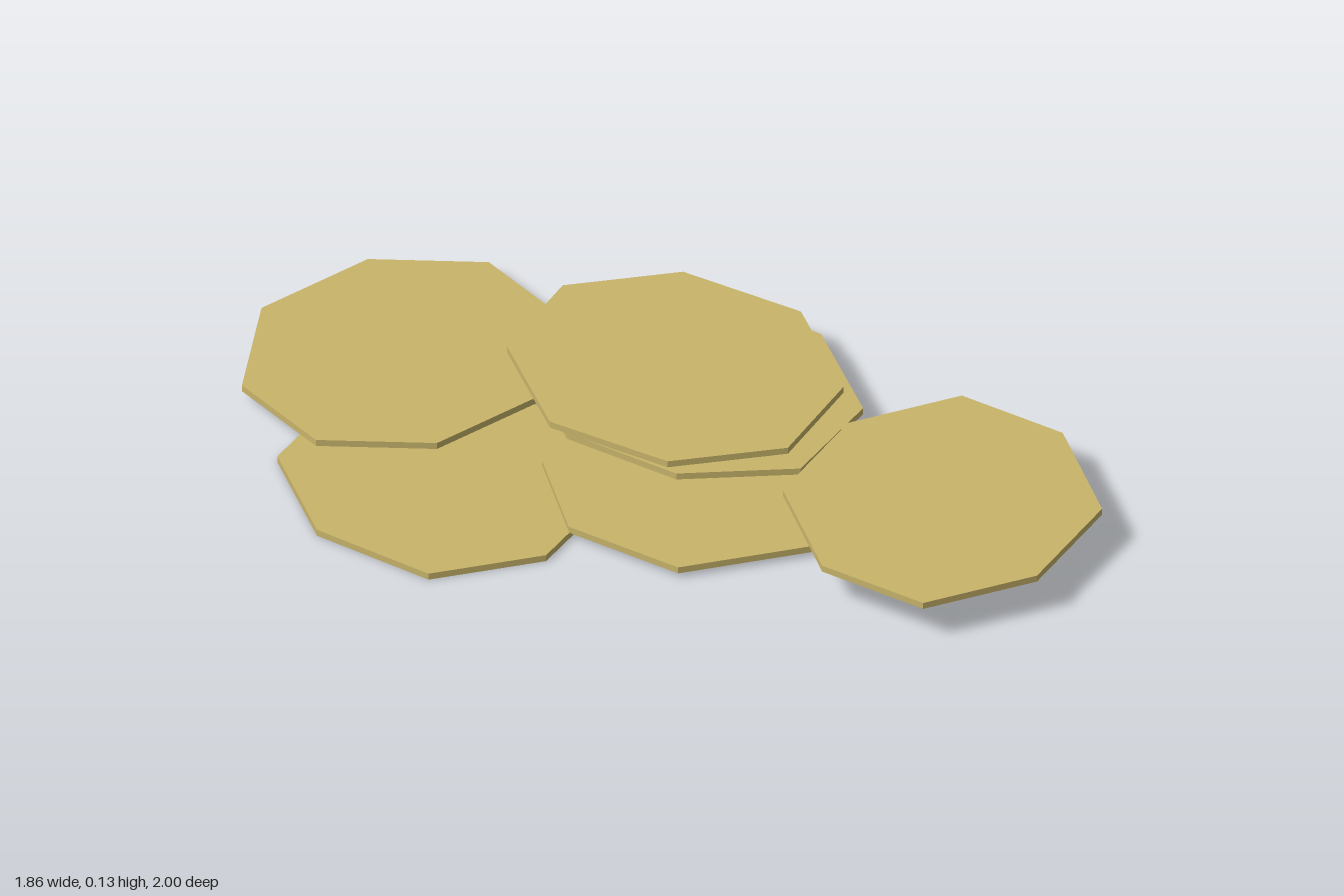
import * as THREE from 'three';

const THICKNESS = 0.018;

// Each plate: centre [x, z], underside height, and half of its corners as
// offsets [x, z]; the other half is the same offsets mirrored through the centre.
const PLATES = [
  { name: 'lowerLeftPlate', c: [-0.545, -0.08], y: 0.0,
    half: [[-0.365, -0.22], [-0.385, 0.12], [-0.19, 0.4], [0.115, 0.425]] },
  { name: 'lowerMiddlePlate', c: [0.075, 0.165], y: 0.014,
    half: [[-0.415, 0.1], [-0.22, 0.365], [0.125, 0.392], [0.376, 0.2]] },
  { name: 'lowerBackPlate', c: [-0.47, -0.587], y: 0.031,
    half: [[0.06, -0.413], [0.34, -0.295], [0.43, -0.003], [0.265, 0.302]] },
  { name: 'upperMiddlePlate', c: [0.14, -0.128], y: 0.083,
    half: [[0.375, -0.095], [0.36, 0.25], [0.12, 0.447], [-0.18, 0.36]] },
  { name: 'upperFrontPlate', c: [0.54, 0.588], y: 0.096,
    half: [[-0.105, -0.4], [0.205, -0.415], [0.385, -0.172], [0.361, 0.178]] },
  { name: 'upperTopPlate', c: [0.108, -0.176], y: 0.111,
    half: [[-0.14, -0.436], [0.164, -0.388], [0.38, -0.12], [0.365, 0.23]] },
];

export function createModel() {
  const group = new THREE.Group();
  const material = new THREE.MeshStandardMaterial({ color: 0xc8b46a });
  material.name = 'dullGold';

  for (const { name, c, y, half } of PLATES) {
    const corners = [...half, ...half.map(([x, z]) => [-x, -z])];
    const shape = new THREE.Shape(corners.map(([x, z]) => new THREE.Vector2(x, -z)));
    // Eight-sided flat plate laid on the ground plane
    const geometry = new THREE.ExtrudeGeometry(shape, { depth: THICKNESS, bevelEnabled: false });
    geometry.rotateX(-Math.PI / 2);
    const plate = new THREE.Mesh(geometry, material);
    plate.name = name;
    plate.position.set(c[0], y, c[1]);
    group.add(plate);
  }
  return group;
}
